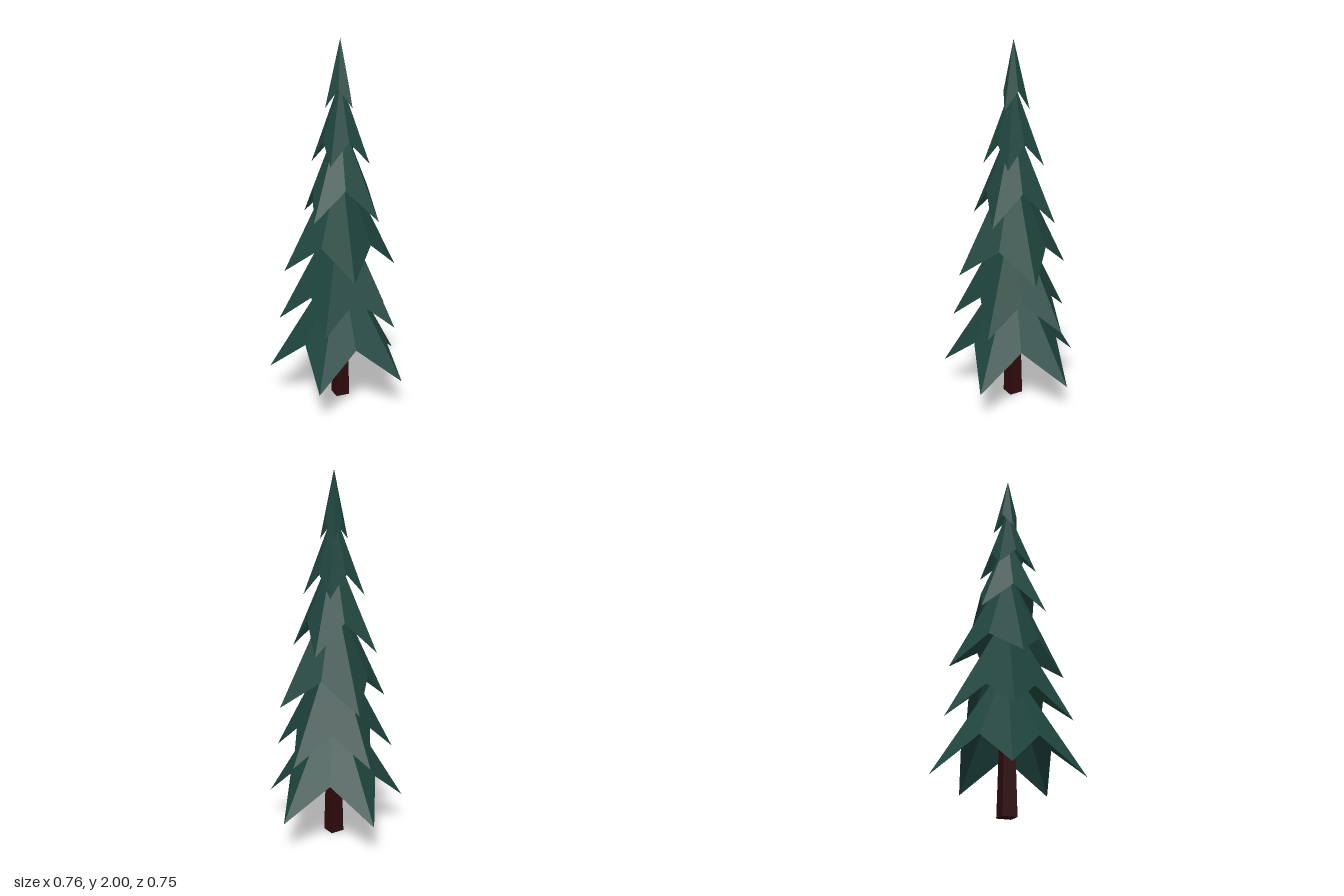
import * as THREE from 'three';

export function createModel() {
  const tree = new THREE.Group();
  tree.name = 'pineTree';
  const needles = new THREE.MeshStandardMaterial({ color: 0x20463f, side: THREE.DoubleSide });
  needles.name = 'needle green';
  const bark = new THREE.MeshStandardMaterial({ color: 0x2f0b0c });
  bark.name = 'bark brown';
  needles.flatShading = bark.flatShading = true;

  // Open star-shaped cone: drooping tips alternate with raised notches
  function starCone({ tips, turn, radius, tipY, notchY, apexY }) {
    const ring = [];
    for (let i = 0; i < tips * 2; i++) {
      const a = THREE.MathUtils.degToRad(turn) + (i * Math.PI) / tips;
      const r = i % 2 ? radius * 0.61 : radius;
      ring.push([r * Math.cos(a), i % 2 ? notchY : tipY, r * Math.sin(a)]);
    }
    const points = [];
    ring.forEach((p, i) => {
      points.push(0, apexY, 0, ...ring[(i + 1) % ring.length], ...p);
    });
    const geometry = new THREE.BufferGeometry();
    geometry.setAttribute('position', new THREE.Float32BufferAttribute(points, 3));
    geometry.computeVertexNormals();
    return geometry;
  }

  // Branch tiers, bottom to top
  const tiers = [
    { tips: 5, turn: 11, radius: 0.404, tipY: 0.175, notchY: 0.36, apexY: 0.83 },
    { tips: 5, turn: 8.5, radius: 0.344, tipY: 0.472, notchY: 0.63, apexY: 1.12 },
    { tips: 4, turn: 53.7, radius: 0.316, tipY: 0.762, notchY: 0.915, apexY: 1.4 },
    { tips: 4, turn: 11.7, radius: 0.247, tipY: 1.055, notchY: 1.22, apexY: 1.6 },
    { tips: 4, turn: -4.8, radius: 0.165, tipY: 1.35, notchY: 1.47, apexY: 1.79 },
    { tips: 3, turn: 18, radius: 0.085, tipY: 1.643, notchY: 1.74, apexY: 2 },
  ];
  tiers.forEach((tier, i) => {
    const mesh = new THREE.Mesh(starCone(tier), needles);
    mesh.name = `branchTier${i + 1}`;
    tree.add(mesh);
  });

  // Four-sided trunk, slightly tapered, running up into the foliage
  const trunk = new THREE.Mesh(new THREE.CylinderGeometry(0.035, 0.056, 0.7, 4), bark);
  trunk.name = 'trunk';
  trunk.position.y = 0.35;
  tree.add(trunk);

  // The trunk stands slightly off the middle of the uneven foliage
  tree.children.forEach((part) => {
    part.position.x = -0.015;
    part.position.z = -0.016;
  });
  return tree;
}
